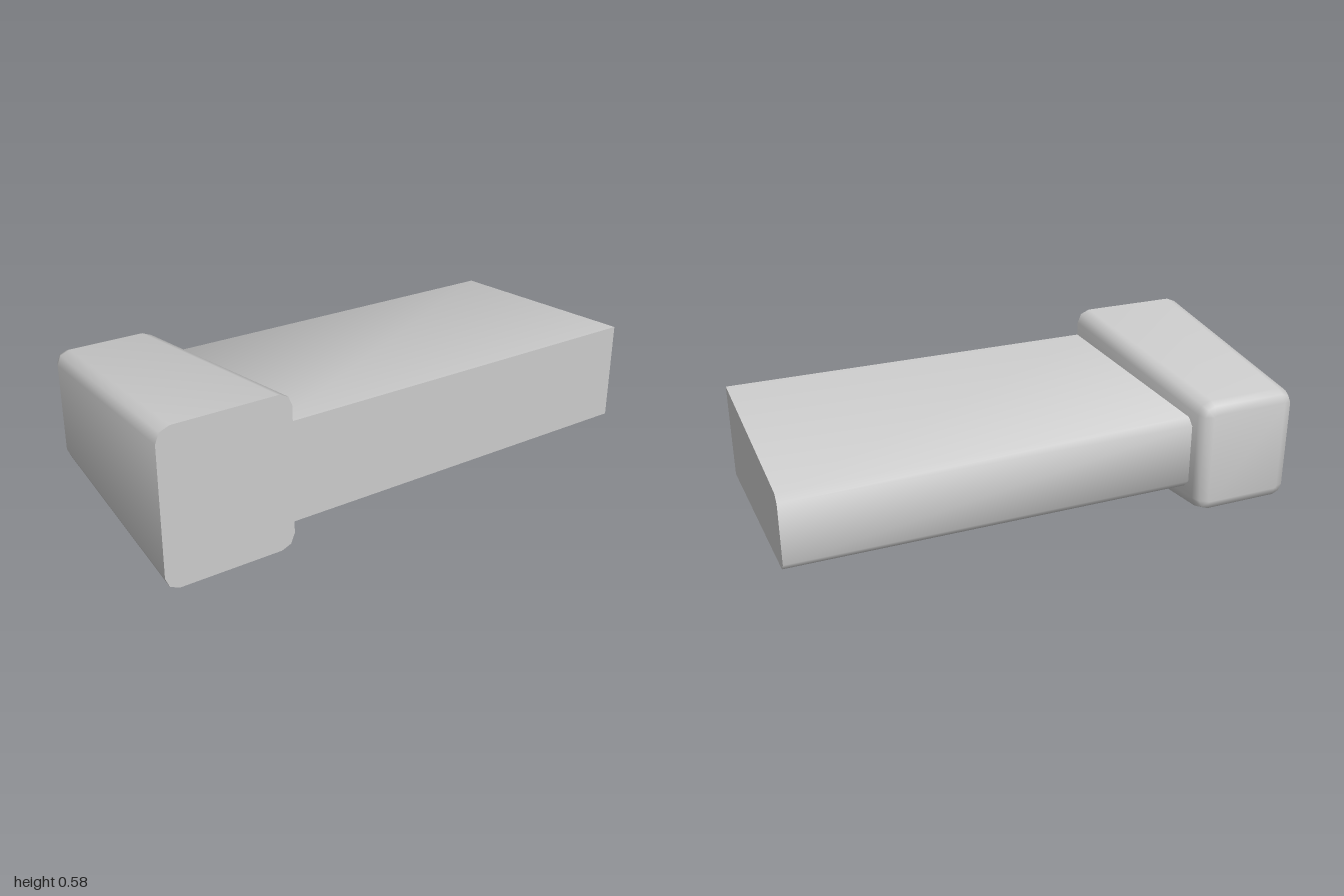
import * as THREE from 'three';
import { toCreasedNormals } from 'three/addons/utils/BufferGeometryUtils.js';

const material = new THREE.MeshStandardMaterial({ color: 0xcccccc });

// Corner points of a rounded rectangle, counter-clockwise seen from +z
function roundedRect(x0, x1, y0, y1, r, z) {
  const corners = [[x1 - r, y0 + r], [x1 - r, y1 - r], [x0 + r, y1 - r], [x0 + r, y0 + r]];
  const points = [];
  corners.forEach(([cx, cy], i) => {
    for (let s = 0; s < 3; s++) {
      const a = (i - 1 + s / 2) * Math.PI / 2;
      points.push([cx + r * Math.cos(a), cy + r * Math.sin(a), z]);
    }
  });
  return points;
}

// Joins rings running from front to back and caps both ends
function loft(rings) {
  const n = rings[0].length, last = (rings.length - 1) * n, index = [];
  for (let k = 0; k < rings.length - 1; k++) {
    for (let j = 0; j < n; j++) {
      const a = k * n + j, b = k * n + (j + 1) % n;
      index.push(a, a + n, b, b, a + n, b + n);
    }
  }
  for (let j = 1; j < n - 1; j++) {
    index.push(0, j, j + 1, last, last + j + 1, last + j);
  }
  const geometry = new THREE.BufferGeometry();
  geometry.setAttribute('position', new THREE.Float32BufferAttribute(rings.flat(2), 3));
  geometry.setIndex(index);
  return toCreasedNormals(geometry, 1);
}

export function createModel() {
  const group = new THREE.Group();

  // Tapered head block with a rounded back edge: [z, inset]
  const rings = [[0.48, 0], [-0.435, 0], [-0.468, 0.013], [-0.48, 0.045]].map(([z, inset]) => {
    const t = Math.min((0.48 - z) / 0.915, 1);
    return roundedRect(
      -1 + 0.047 * t + inset, -0.509 - 0.047 * t - inset,
      0.002 + 0.064 * t + inset, 0.586 - 0.072 * t - inset,
      0.052 - inset, z);
  });
  const head = new THREE.Mesh(loft(rings), material);
  head.name = 'head';
  group.add(head);

  // Long beam, tapering to a chamfered back edge: profile in (-z, y)
  const profile = new THREE.Shape([
    [-0.48, 0.1], [0.38, 0.146], [0.405, 0.175],
    [0.405, 0.405], [0.38, 0.433], [-0.48, 0.479],
  ].map(([u, y]) => new THREE.Vector2(u, y)));
  const beamGeometry = new THREE.ExtrudeGeometry(profile, { depth: 1.6, bevelEnabled: false });
  beamGeometry.rotateY(Math.PI / 2).translate(-0.6, 0, 0);
  const beam = new THREE.Mesh(toCreasedNormals(beamGeometry, 1), material);
  beam.name = 'beam';
  group.add(beam);

  return group;
}
